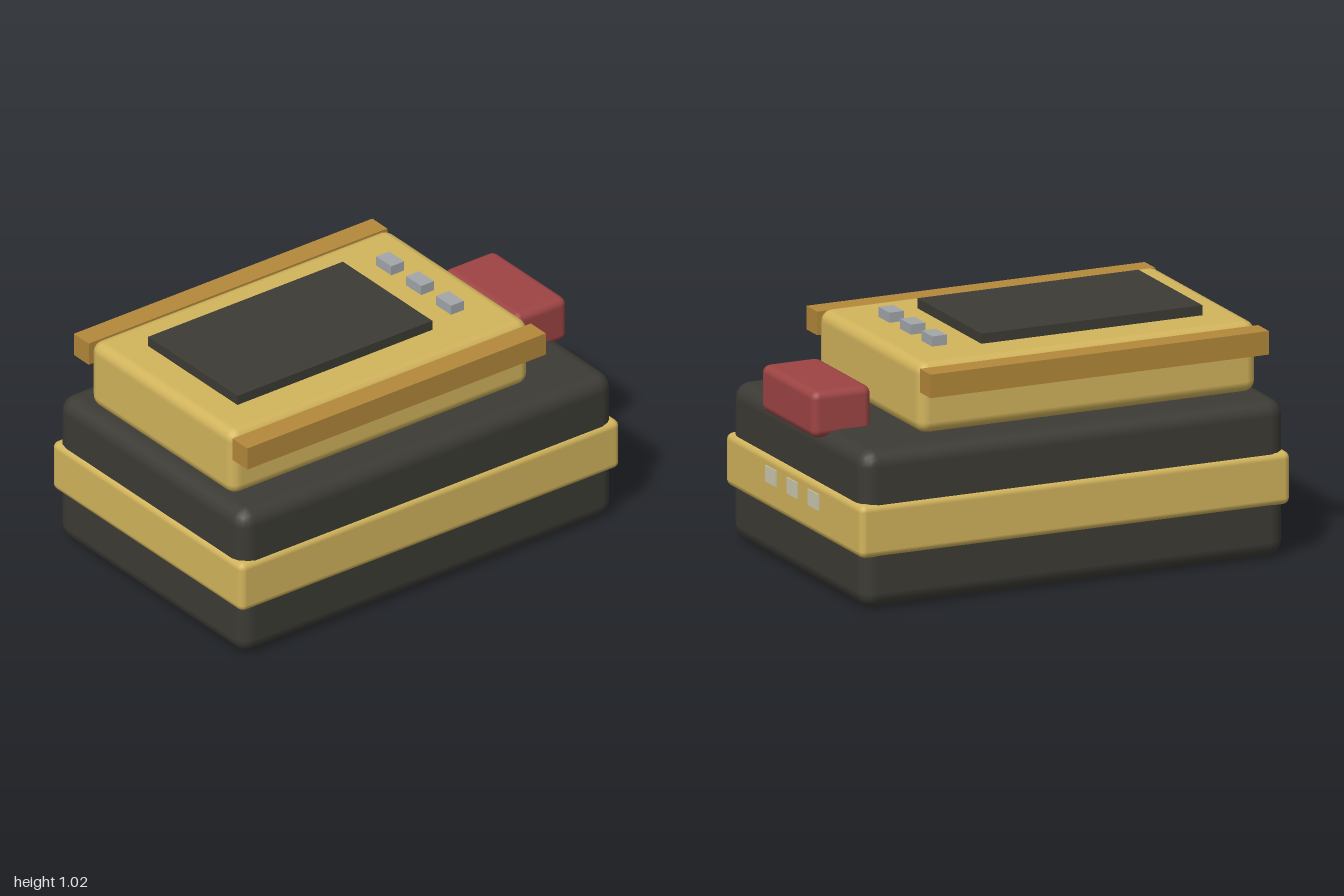
import * as THREE from 'three';
import { RoundedBoxGeometry } from 'three/addons/geometries/RoundedBoxGeometry.js';

const paint = (name, color) => {
  const m = new THREE.MeshStandardMaterial({ color });
  m.name = name;
  return m;
};

export function createModel() {
  const group = new THREE.Group();
  const dark = paint('charcoal', 0x3c3b35);
  const gold = paint('gold', 0xd2b45c);
  const bronze = paint('bronze', 0xb3883a);
  const red = paint('red', 0x9e4444);
  const grey = paint('grey', 0xa2a6aa);
  const cream = paint('cream', 0xcbc8b0);

  // Box from min/max ranges; a radius rounds its edges
  const box = (name, mat, [x0, x1], [y0, y1], [z0, z1], radius = 0) => {
    const size = [x1 - x0, y1 - y0, z1 - z0];
    const geo = radius ? new RoundedBoxGeometry(...size, 2, radius) : new THREE.BoxGeometry(...size);
    const mesh = new THREE.Mesh(geo, mat);
    mesh.name = name;
    mesh.position.set((x0 + x1) / 2, (y0 + y1) / 2, (z0 + z1) / 2);
    group.add(mesh);
  };

  // Main case and the band around it
  box('body', dark, [-0.985, 0.955], [0, 0.677], [-0.635, 0.635], 0.07);
  box('band', gold, [-1, 0.972], [0.226, 0.454], [-0.648, 0.648], 0.03);

  // Raised upper housing with its screen
  box('upperHousing', gold, [-0.925, 0.625], [0.677, 0.981], [-0.488, 0.488], 0.05);
  box('screen', dark, [-0.758, 0.254], [0.975, 1.024], [-0.304, 0.304]);

  // Side rails
  box('leftRail', bronze, [-0.925, 0.625], [0.864, 0.965], [0.488, 0.59]);
  box('rightRail', bronze, [-0.925, 0.625], [0.864, 0.965], [-0.59, -0.488]);

  // Red end block
  box('endBlock', red, [0.729, 1], [0.645, 0.847], [-0.253, 0.253], 0.035);

  // Buttons on top and indicator plates on the end of the band
  for (const z of [-0.203, 0, 0.203]) {
    box('button', grey, [0.389, 0.456], [0.975, 1.024], [z - 0.051, z + 0.051]);
    box('indicator', cream, [0.968, 0.977], [0.34, 0.409], [z - 0.051, z + 0.051]);
  }
  return group;
}
